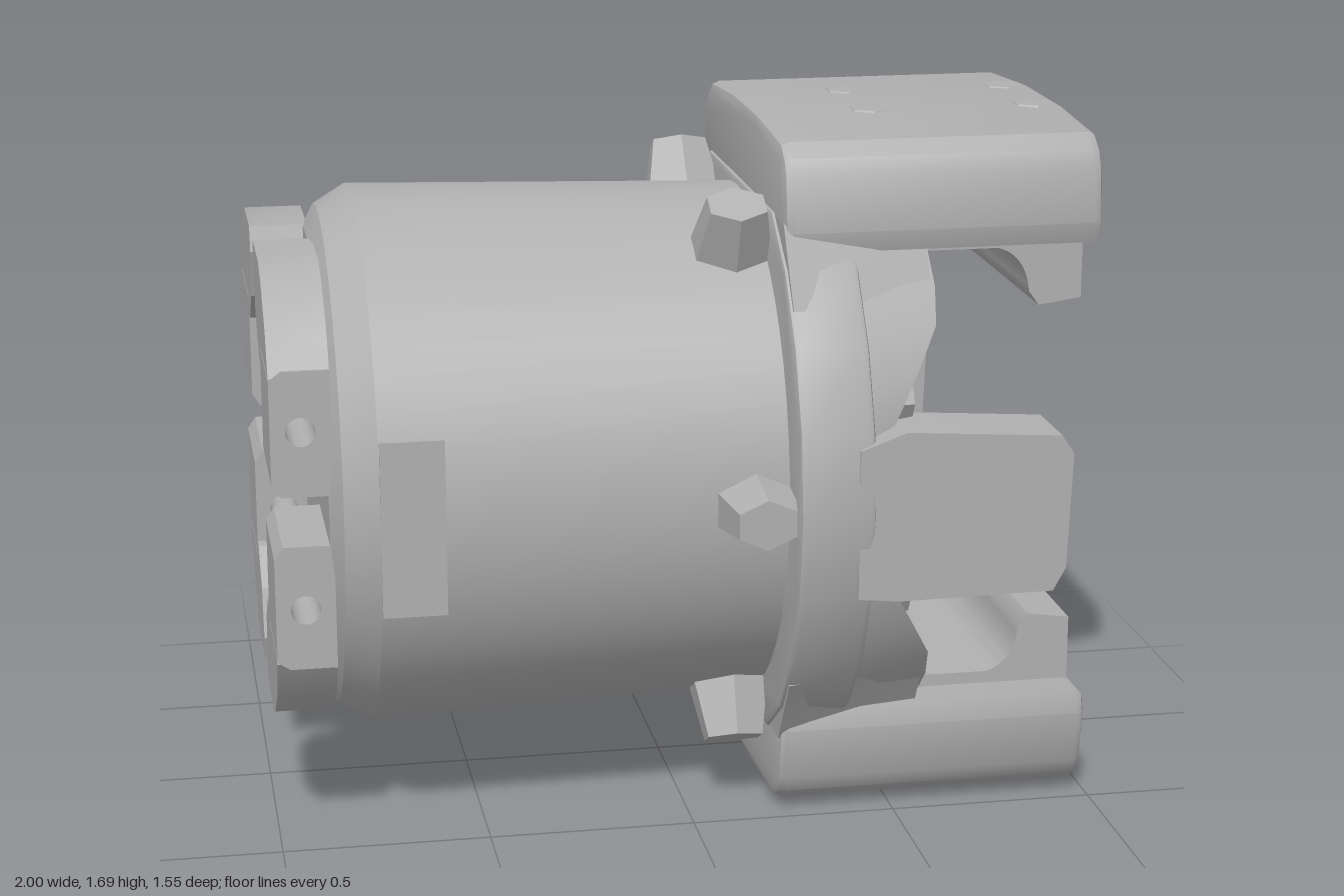
import * as THREE from 'three';
import { toCreasedNormals } from 'three/addons/utils/BufferGeometryUtils.js';

const CY = 0.85; // height of the main axis, which runs along x

export function createModel() {
  const model = new THREE.Group();
  const axis = new THREE.Group();
  axis.position.y = CY;
  model.add(axis);
  const metal = new THREE.MeshStandardMaterial({ color: 0xb0b0b0, side: THREE.DoubleSide });
  metal.name = 'grey metal';

  const add = (name, geo, parent = axis) => {
    const m = new THREE.Mesh(toCreasedNormals(geo, 0.5), metal);
    m.name = name;
    parent.add(m);
    return m;
  };
  const shapeOf = (pts) => new THREE.Shape(pts.map(([a, b]) => new THREE.Vector2(a, b)));
  // Section given as [z, y], extruded along x
  const alongX = (pts, x0, x1, hole, bevel = 0) => {
    const flip = (p) => p.map(([z, y]) => [-z, y]);
    const s = shapeOf(flip(pts));
    if (hole) s.holes.push(shapeOf(flip(hole)));
    const g = new THREE.ExtrudeGeometry(s, {
      depth: x1 - x0 - 2 * bevel, bevelEnabled: bevel > 0, bevelSize: bevel,
      bevelThickness: bevel, bevelOffset: -bevel, bevelSegments: 2,
    });
    return g.rotateY(Math.PI / 2).translate(x0 + bevel, 0, 0);
  };
  // Profile given as [x, y], extruded along z
  const alongZ = (shape, z0, z1) =>
    new THREE.ExtrudeGeometry(shape, { depth: z1 - z0, bevelEnabled: false }).translate(0, 0, z0);
  const box = (x0, x1, y0, y1, z0, z1) =>
    new THREE.BoxGeometry(x1 - x0, y1 - y0, z1 - z0).translate((x0 + x1) / 2, (y0 + y1) / 2, (z0 + z1) / 2);
  const arc = (r, a0, a1, n) => Array.from({ length: n + 1 }, (_, i) => {
    const a = THREE.MathUtils.degToRad(a0 + (a1 - a0) * i / n);
    return [r * Math.cos(a), r * Math.sin(a)];
  });
  const mirror4 = (fn) => { for (const sy of [1, -1]) for (const sz of [1, -1]) fn(sy, sz); };

  // Slightly tapered barrel with a chamfered rear and a hollow front
  const profile = [[0, -0.87], [0.56, -0.87], [0.615, -0.84], [0.663, -0.76], [0.635, 0.22],
    [0.635, 0.38], [0.57, 0.38], [0.53, 0.1], [0, 0.1]];
  add('barrel', new THREE.LatheGeometry(profile.map((p) => new THREE.Vector2(...p)), 48).rotateZ(-Math.PI / 2));

  // Flat panels at the rear of the barrel sides
  for (const s of [1, -1]) add('sidePanel', box(-0.76, -0.61, -0.21, 0.21, s * 0.66 - 0.004, s * 0.66 + 0.004));

  // Collar: faceted ring flattened above and below, with a chamfered opening
  const outer = arc(0.765, 0, 360, 24).slice(0, -1)
    .map(([z, y]) => [z, THREE.MathUtils.clamp(y, -0.65, 0.65)]);
  const opening = [[0.57, 0.22], [0.42, 0.4], [-0.42, 0.4], [-0.57, 0.22],
    [-0.57, -0.22], [-0.42, -0.4], [0.42, -0.4], [0.57, -0.22]];
  add('collar', alongX(outer, 0.2, 0.38, opening, 0.015));

  // Raised floor panel and sloped cheeks inside the opening
  add('innerPanel', box(0.09, 0.14, -0.32, 0.32, -0.22, 0.22));
  for (const s of [1, -1]) {
    const cheek = new THREE.Group();
    cheek.rotation.x = s > 0 ? 0 : Math.PI;
    axis.add(cheek);
    const wedge = shapeOf([[0.1, -0.24], [0.14, -0.24], [0.2, -0.36], [0.38, -0.56], [0.1, -0.56]]);
    add('innerCheek', new THREE.ExtrudeGeometry(wedge, { depth: 0.52, bevelEnabled: false })
      .translate(0, 0, -0.26).rotateX(Math.PI / 2), cheek);
  }

  // Curved struts that grow forward from the collar towards the pads, with bolts
  mirror4((sy, sz) => {
    const q = (pts) => pts.map(([z, y]) => [sz * z, sy * y]);
    const strut = alongX(q([...arc(0.745, 10, 60, 6), ...arc(0.55, 60, 10, 6)]), 0.3, 0.5);
    const p = strut.attributes.position;
    for (let i = 0; i < p.count; i++) {
      if (p.getX(i) > 0.4) {
        const t = THREE.MathUtils.clamp((Math.abs(p.getY(i)) - 0.1) / 0.35, 0, 1);
        const r = Math.hypot(p.getY(i), p.getZ(i));
        const k = r > 0.65 ? 0.95 : 1;
        p.setXYZ(i, 0.38 + 0.19 * t, p.getY(i) * k, p.getZ(i) * k);
      }
    }
    add('strut', strut);
    const bolt = new THREE.CylinderGeometry(0.04, 0.055, 0.1, 6).rotateZ(-Math.PI / 2);
    add('collarBolt', bolt.clone().translate(0.44, sy * 0.24, sz * 0.62));
    add('innerBolt', bolt.clone().translate(0.2, sy * 0.2, sz * 0.27));
  });

  // Six tapered knobs around the barrel just behind the collar
  for (let i = 0; i < 6; i++) {
    const g = new THREE.CylinderGeometry(0.06, 0.085, 0.16, 6).scale(1.3, 1, 1).translate(0.12, 0.695, 0);
    add('knob', g.rotateX(Math.PI / 2 + i * Math.PI / 3));
  }

  // Side jaws
  for (const s of [1, -1]) {
    const jaw = shapeOf([[0.34, -0.2], [0.44, -0.21], [0.81, -0.205], [0.84, -0.15], [0.85, 0.13],
      [0.82, 0.175], [0.45, 0.2], [0.34, 0.16]]);
    const z = s * 0.665;
    add('sideJaw', alongZ(jaw, z - 0.09, z + 0.09));
  }

  // Upper and lower pads with their clamps; the lower set is the upper one turned over
  for (const turn of [0, Math.PI]) {
    const half = new THREE.Group();
    half.name = turn ? 'lowerClamp' : 'upperClamp';
    half.rotation.x = turn;
    axis.add(half);

    const section = [[0.49, 0.57], [0.505, 0.62], [0.485, 0.75], [0.465, 0.79], [0.42, 0.822], [0.15, 0.84]];
    add('pad', alongX([...section, ...section.map(([z, y]) => [-z, y]).reverse()], 0.21, 0.985, null, 0.025), half);

    // Flared shoulders behind the pad, narrowing towards the front
    const shoulder = alongX([[0.61, 0.46], [0.49, 0.64], [-0.49, 0.64], [-0.61, 0.46]], 0.21, 0.56);
    const p = shoulder.attributes.position;
    for (let i = 0; i < p.count; i++) if (p.getX(i) > 0.4) p.setZ(i, p.getZ(i) * 0.86);
    add('padShoulder', shoulder, half);

    // Stepped bracket under the pad
    const bracket = shapeOf([[0.24, 0.6], [0.24, 0.36], [0.36, 0.35], [0.38, 0.4], [0.46, 0.41],
      [0.48, 0.46], [0.53, 0.48], [0.56, 0.54], [0.6, 0.55], [0.6, 0.6]]);
    add('bracket', alongZ(bracket, -0.39, 0.39), half);

    // Hooked clamp jaw with a curved inner edge
    const claw = new THREE.Shape();
    claw.moveTo(0.58, 0.61);
    claw.lineTo(0.58, 0.54);
    claw.lineTo(0.76, 0.54);
    claw.quadraticCurveTo(0.83, 0.52, 0.84, 0.43);
    claw.lineTo(0.865, 0.395);
    claw.lineTo(0.97, 0.41);
    claw.lineTo(0.97, 0.61);
    add('clawJaw', alongZ(claw, -0.385, 0.385), half);

    // Screws on the outer face and on the front edge
    for (const z of [-0.13, 0.13]) {
      for (const x of [0.5, 0.91]) {
        add('padScrew', new THREE.CylinderGeometry(0.05, 0.075, 0.03, 6).translate(x, 0.828, z), half);
      }
      add('edgeScrew', new THREE.CylinderGeometry(0.07, 0.09, 0.03, 6).rotateZ(-Math.PI / 2)
        .scale(1, 0.6, 1).translate(0.98, 0.74, z), half);
    }
  }

  // Four rear lugs: a drilled block with a curved shoulder
  mirror4((sy, sz) => {
    const lug = new THREE.Group();
    lug.name = 'rearLug';
    axis.add(lug);
    const block = shapeOf([[-0.86, 0.06], [-0.98, 0.06], [-1, 0.09], [-1, 0.34], [-0.97, 0.36], [-0.86, 0.36]]
      .map(([x, y]) => [x, sy * y]));
    const hole = new THREE.Path();
    hole.absarc(-0.93, sy * 0.215, 0.035, 0, Math.PI * 2);
    block.holes.push(hole);
    add('lugBlock', alongZ(block, sz > 0 ? 0.24 : -0.56, sz > 0 ? 0.56 : -0.24), lug);
    const crown = [[0.56, 0.345], [0.5, 0.44], [0.38, 0.53], [0.3, 0.56], [0.08, 0.56], [0.06, 0.5],
      [0.1, 0.38], [0.2, 0.3], [0.26, 0.3], [0.26, 0.345]];
    add('lugCrown', alongX(crown.map(([z, y]) => [sz * z, sy * y]), -1, -0.86), lug);
  });

  return model;
}
